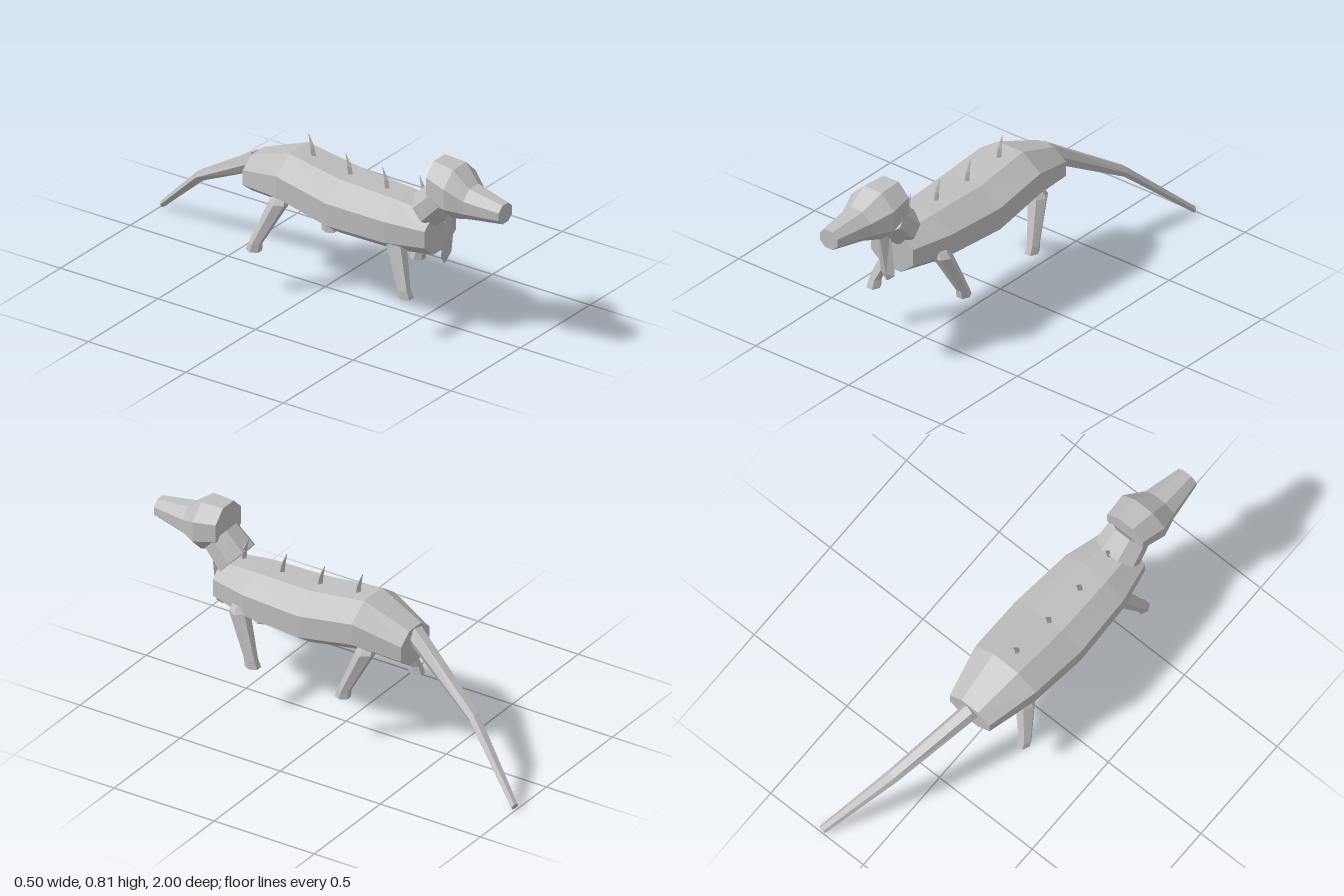
import * as THREE from 'three';

const skin = new THREE.MeshStandardMaterial({ color: 0xbebebe, flatShading: true });
skin.name = 'plain grey';

// Lofts rings [x, y, z, halfWidth, halfDepth] that advance along the ring normal
function loft(name, sections, sides, normal) {
  const n = new THREE.Vector3(...normal).normalize();
  const u = new THREE.Vector3(1, 0, 0).addScaledVector(n, -n.x).normalize();
  const v = new THREE.Vector3().crossVectors(n, u);
  const offset = sides === 8 ? Math.PI / 8 : 0;
  const grow = sides === 8 ? 1 / Math.cos(offset) : 1;
  const centres = sections.map(([x, y, z]) => new THREE.Vector3(x, y, z));
  const rings = sections.map(([, , , a, b], i) =>
    Array.from({ length: sides }, (_, j) => {
      const t = offset + (j / sides) * Math.PI * 2;
      return centres[i].clone()
        .addScaledVector(u, Math.cos(t) * a * grow)
        .addScaledVector(v, Math.sin(t) * b * grow);
    }));
  const points = [];
  const last = rings.length - 1;
  for (let j = 0; j < sides; j++) {
    const k = (j + 1) % sides;
    for (let i = 0; i < last; i++) {
      const a = rings[i][j], b = rings[i][k], c = rings[i + 1][k], d = rings[i + 1][j];
      points.push(a, b, c, a, c, d);
    }
    points.push(centres[0], rings[0][k], rings[0][j]);
    points.push(centres[last], rings[last][j], rings[last][k]);
  }
  const geometry = new THREE.BufferGeometry().setFromPoints(points);
  geometry.computeVertexNormals();
  const mesh = new THREE.Mesh(geometry, skin);
  mesh.name = name;
  return mesh;
}

export function createModel() {
  const model = new THREE.Group();
  model.name = 'lizard';

  // Trunk, rump to chest
  model.add(loft('body', [
    [-0.023, 0.47, -0.33, 0.107, 0.083],
    [-0.037, 0.517, -0.11, 0.163, 0.117],
    [-0.045, 0.473, 0.16, 0.176, 0.123],
    [-0.055, 0.47, 0.45, 0.157, 0.116],
    [-0.065, 0.472, 0.635, 0.113, 0.093],
  ], 8, [0, 0, 1]));

  // Head, skull to snout
  model.add(loft('head', [
    [-0.07, 0.72, 0.635, 0.097, 0.094],
    [-0.079, 0.697, 0.745, 0.115, 0.112],
    [-0.095, 0.675, 0.83, 0.078, 0.07],
    [-0.107, 0.673, 1.0, 0.048, 0.043],
  ], 8, [0, 0, 1]));

  // Neck, leaning forward from the shoulders
  model.add(loft('neck', [
    [-0.068, 0.572, 0.588, 0.1, 0.08],
    [-0.07, 0.655, 0.67, 0.09, 0.075],
  ], 8, [0, 0.66, 0.75]));

  // Pointed flap under the throat
  model.add(loft('throatFlap', [
    [-0.07, 0.333, 0.662, 0.004, 0.002],
    [-0.063, 0.37, 0.665, 0.038, 0.012],
    [-0.066, 0.6, 0.69, 0.037, 0.032],
  ], 4, [0, 1, 0]));

  // Tail, tip to root
  model.add(loft('tail', [
    [0.228, 0.02, -0.993, 0.019, 0.016],
    [0.09, 0.29, -0.7, 0.031, 0.025],
    [-0.03, 0.513, -0.325, 0.04, 0.047],
  ], 6, [-0.25, 0.35, 0.9]));

  // Legs: [name, foot x, foot z, hip x, hip z]
  for (const [name, fx, fz, hx, hz] of [
    ['frontRightLeg', -0.218, 0.567, -0.155, 0.47],
    ['frontLeftLeg', 0.12, 0.387, 0.08, 0.48],
    ['backLeftLeg', 0.12, -0.062, 0.08, -0.15],
    ['backRightLeg', -0.218, -0.21, -0.155, -0.125],
  ]) {
    model.add(loft(name, [
      [fx, 0.204, fz, 0.031, 0.036],
      [fx, 0.24, fz - (fz - hz) * 0.1, 0.028, 0.03],
      [hx, 0.425, hz, 0.045, 0.045],
      [hx + (hx < 0 ? 0.015 : -0.015), 0.455, hz, 0.035, 0.035],
    ], 6, [0, 1, 0]));
  }

  // Spikes along the back: [x, base y, base z]
  for (const [x, y, z] of [
    [-0.055, 0.595, 0.548], [-0.055, 0.58, 0.358],
    [-0.048, 0.587, 0.164], [-0.037, 0.615, -0.033],
  ]) {
    model.add(loft('backSpike', [
      [x, y, z, 0.014, 0.014],
      [x, y + 0.045, z - 0.007, 0.012, 0.011],
      [x, y + 0.1, z - 0.026, 0.001, 0.001],
    ], 4, [0, 1, 0]));
  }

  return model;
}
